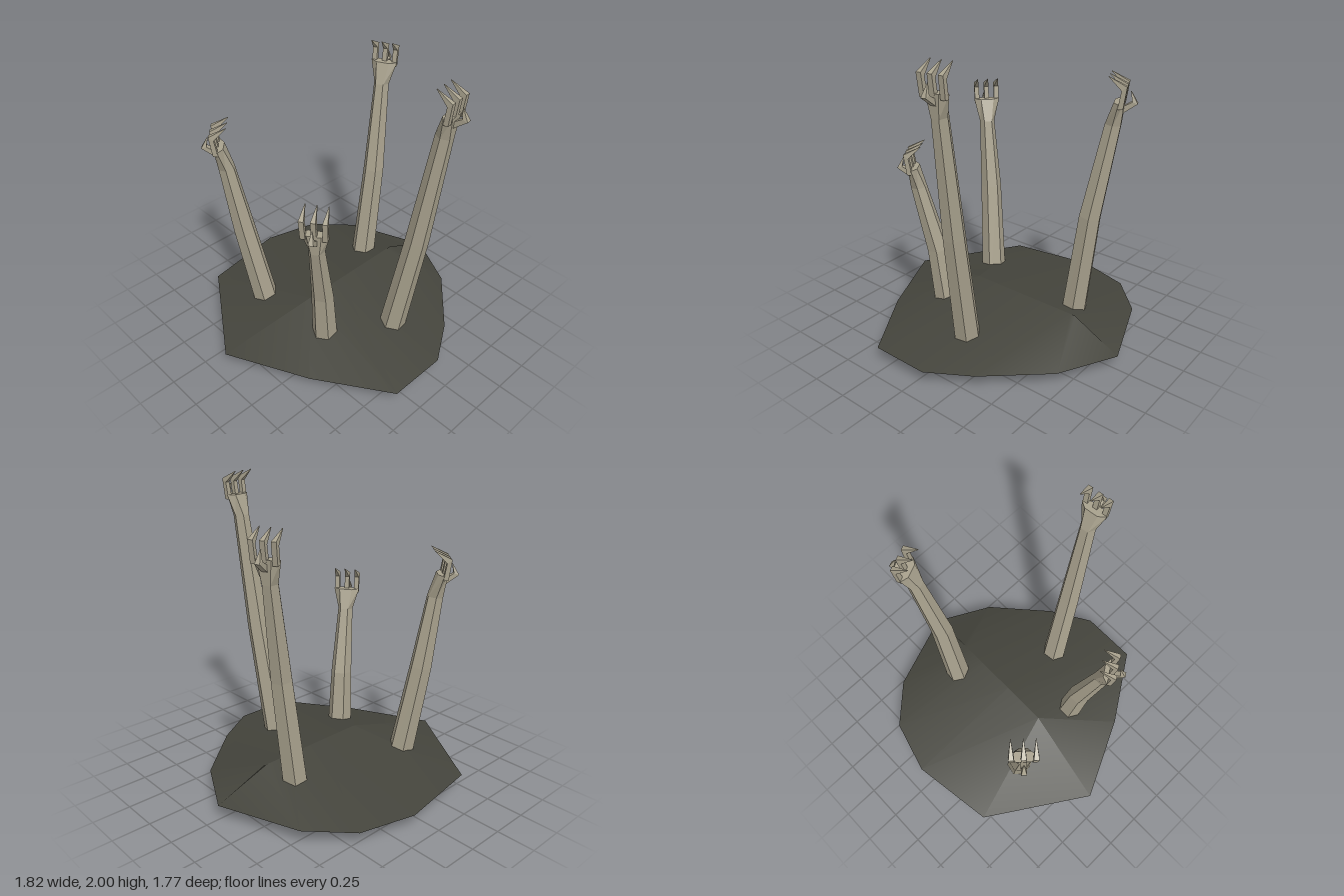
import * as THREE from 'three';

const boneMat = new THREE.MeshStandardMaterial({ color: 0xa8a18d, flatShading: true });
boneMat.name = 'paleBone';
const earthMat = new THREE.MeshStandardMaterial({ color: 0x44443c });
earthMat.name = 'darkEarth';

// Lofts a closed solid through rings: [x, y, z, halfWidth, halfDepth, tilt about x]
function loft(name, sides, rings) {
  const turn = sides === 4 ? Math.PI / 4 : 0;
  const grow = sides === 4 ? Math.SQRT2 : 1;
  const loops = rings.map(([x, y, z, w, d, tilt]) =>
    Array.from({ length: sides }, (_, j) => {
      const a = turn + (j / sides) * Math.PI * 2;
      return new THREE.Vector3(Math.cos(a) * w * grow, 0, -Math.sin(a) * d * grow)
        .applyAxisAngle(new THREE.Vector3(1, 0, 0), tilt)
        .add(new THREE.Vector3(x, y, z));
    }));
  const pts = [];
  for (let i = 0; i < loops.length - 1; i++) {
    for (let j = 0; j < sides; j++) {
      const k = (j + 1) % sides;
      const [a, b, c, d] = [loops[i][j], loops[i][k], loops[i + 1][k], loops[i + 1][j]];
      pts.push(a, b, c, a, c, d);
    }
  }
  const first = loops[0], last = loops[loops.length - 1];
  for (let j = 1; j < sides - 1; j++) {
    pts.push(first[0], first[j + 1], first[j], last[0], last[j], last[j + 1]);
  }
  const geo = new THREE.BufferGeometry().setFromPoints(pts);
  geo.computeVertexNormals();
  const mesh = new THREE.Mesh(geo, boneMat);
  mesh.name = name;
  return mesh;
}

// Low mound: irregular rim rising to a short ridge, closed by a flat underside
function makeMound() {
  const rim = [[0.1, -0.89], [0.47, -0.79], [0.71, -0.54], [0.91, 0], [0.71, 0.38], [0.34, 0.71],
    [0.06, 0.88], [-0.34, 0.88], [-0.65, 0.41], [-0.91, -0.13], [-0.48, -0.8]];
  const n = rim.length;
  const top = [], under = [], topIndex = [], underIndex = [];
  rim.forEach(([x, z]) => { top.push(x, 0.1, z); under.push(x, 0.1, z); });
  rim.forEach(([x]) => top.push(THREE.MathUtils.clamp(x * 0.75, -0.25, 0.57), 0.252, -0.02));
  under.push(0, 0.1, 0);
  for (let i = 0; i < n; i++) {
    const k = (i + 1) % n;
    topIndex.push(k, i, n + i, k, n + i, n + k);
    underIndex.push(n, i, k);
  }
  const group = new THREE.Group();
  group.name = 'mound';
  [['moundTop', top, topIndex], ['moundUnderside', under, underIndex]].forEach(([name, pos, index]) => {
    const geo = new THREE.BufferGeometry();
    geo.setAttribute('position', new THREE.Float32BufferAttribute(pos, 3));
    geo.setIndex(index);
    geo.computeVertexNormals();
    const mesh = new THREE.Mesh(geo, earthMat);
    mesh.name = name;
    group.add(mesh);
  });
  return group;
}

// Hand: three hooked fingers curling inward and one thumb on the outer side
function makeHand() {
  const hand = new THREE.Group();
  hand.name = 'hand';
  for (const s of [-1, 0, 1]) {
    hand.add(loft('finger', 4, [
      [s * 0.068, -0.03, 0.012, 0.016, 0.016, 0],
      [s * 0.071, 0.095, 0.03, 0.016, 0.02, -0.65],
      [s * 0.071, 0.16, -0.065, 0.0015, 0.0015, -1],
    ]));
  }
  hand.add(loft('thumb', 4, [
    [0, -0.06, 0.005, 0.018, 0.018, 1.05],
    [0, -0.003, 0.09, 0.017, 0.017, 0.3],
    [0, 0.065, 0.062, 0.0015, 0.0015, -0.4],
  ]));
  return hand;
}

// Arm: path points run base, elbow, wrist, knuckles; it faces away from the middle
function makeArm(name, path) {
  const yaw = Math.atan2(path[0][0], path[0][2]);
  const p = path.map(([x, y, z]) =>
    new THREE.Vector3(x, y, z).applyAxisAngle(new THREE.Vector3(0, 1, 0), -yaw));
  const lean = Math.atan2(p[1].z - p[0].z, p[1].y - p[0].y);
  const sizes = [[0.09, 0.09], [0.073, 0.075], [0.052, 0.055], [0.09, 0.036]];
  const tilts = [lean, lean, lean * 0.7, 0];
  const arm = new THREE.Group();
  arm.name = name;
  arm.add(loft('forearm', 6, p.map((q, i) => [q.x, q.y, q.z, ...sizes[i], tilts[i]])));
  const hand = makeHand();
  hand.position.copy(p[3]);
  arm.add(hand);
  arm.rotation.y = yaw;
  return arm;
}

export function createModel() {
  const model = new THREE.Group();
  model.name = 'reachingArms';
  model.add(makeMound());
  model.add(makeArm('frontArm',
    [[0.06, 0.016, 0.445], [0.1, 0.93, 0.6], [0.127, 1.7, 0.71], [0.13, 1.84, 0.742]]));
  model.add(makeArm('leftArm',
    [[0.43, 0.016, -0.19], [0.54, 0.9, -0.19], [0.64, 1.52, -0.235], [0.67, 1.665, -0.245]]));
  model.add(makeArm('backRightArm',
    [[-0.365, 0.016, -0.33], [-0.465, 0.77, -0.42], [-0.53, 1.25, -0.458], [-0.555, 1.405, -0.485]]));
  model.add(makeArm('frontRightArm',
    [[-0.325, 0.016, 0.215], [-0.38, 0.55, 0.25], [-0.475, 1.0, 0.31], [-0.5, 1.14, 0.325]]));
  return model;
}
